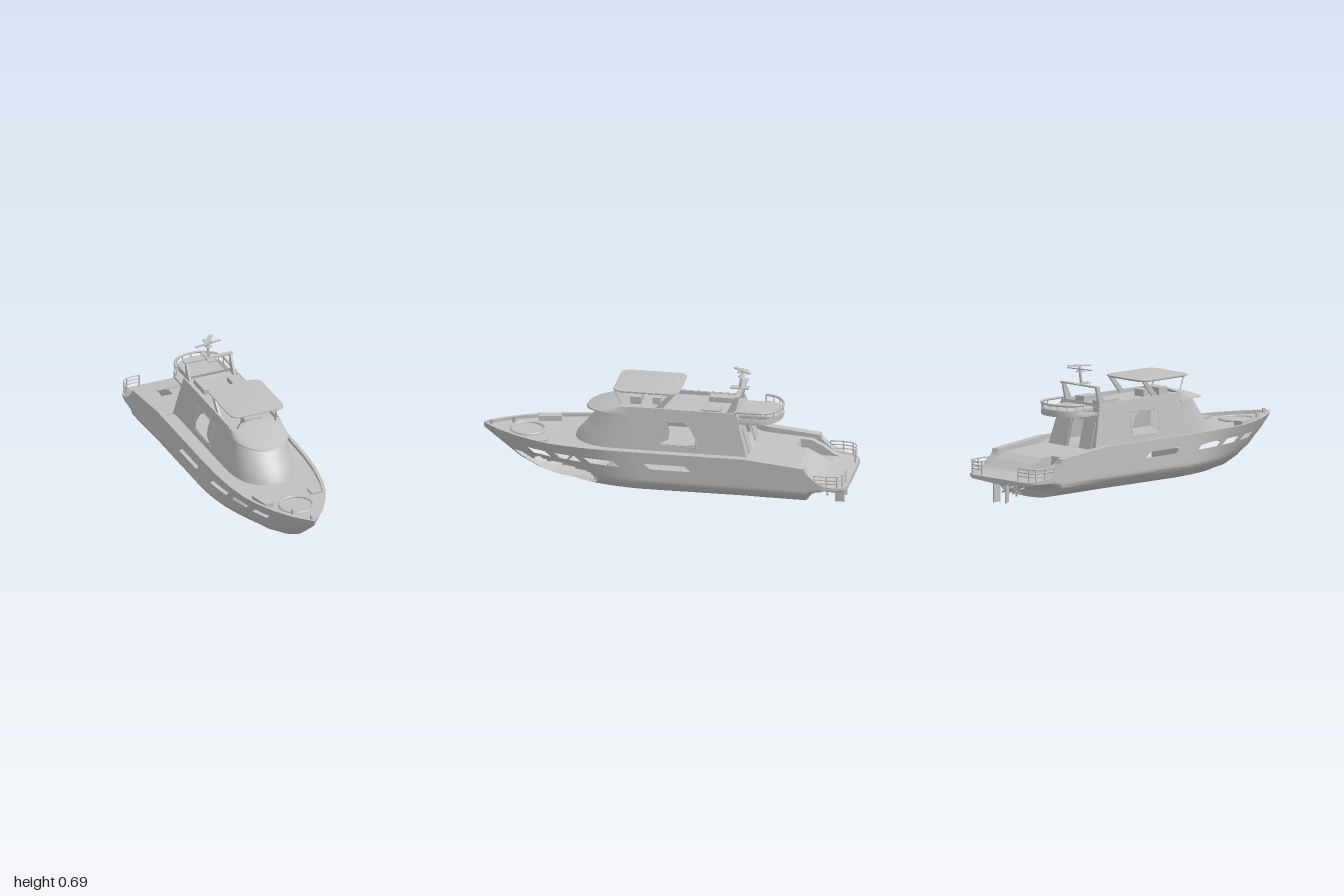
import * as THREE from 'three';
import { toCreasedNormals } from 'three/addons/utils/BufferGeometryUtils.js';

const grey = new THREE.MeshStandardMaterial({ color: 0xc0c0c0, side: THREE.DoubleSide });
grey.name = 'plain grey';

const V = (x, y, z) => new THREE.Vector3(x, y, z);

// piecewise linear lookup in a sorted table of [key, value]
function at(table, t) {
  if (t <= table[0][0]) return table[0][1];
  for (let i = 1; i < table.length; i++) {
    const [a, u] = table[i - 1], [b, v] = table[i];
    if (t <= b) return u + (v - u) * (t - a) / (b - a);
  }
  return table[table.length - 1][1];
}

// surface through rows of points; keep() can leave cells out
function surface(rows, keep = () => true, crease = 0.5) {
  const n = rows[0].length, pts = rows.flat(), index = [];
  const tri = (...t) => {
    const [a, b, c] = t.map(i => pts[i]);
    if (b.clone().sub(a).cross(c.clone().sub(a)).length() > 1e-8) index.push(...t);
  };
  for (let i = 0; i < rows.length - 1; i++) for (let j = 0; j < n - 1; j++) {
    const a = i * n + j, b = a + 1, c = a + n, d = c + 1;
    const mid = pts[a].clone().add(pts[b]).add(pts[c]).add(pts[d]).multiplyScalar(0.25);
    if (keep(mid)) { tri(a, c, b); tri(b, c, d); }
  }
  const g = new THREE.BufferGeometry().setFromPoints(pts);
  g.setIndex(index);
  return toCreasedNormals(g, crease);
}

// hull lines along z: half width, sheer, keel, deck height and bulwark thickness
const WIDTH = [[-1, .2], [-.98, .235], [-.94, .258], [-.88, .27], [.1, .27], [.3, .266], [.45, .254],
  [.6, .228], [.7, .197], [.8, .153], [.9, .094], [.96, .045], [1, .004]];
const SHEER = [[-1, .14], [-.92, .15], [-.86, .165], [-.79, .225], [-.78, .25], [-.45, .283], [.6, .28], [1, .29]];
const KEEL = [[-1, .11], [-.88, .108], [-.84, .09], [-.8, .06], [-.79, .035], [-.78, .02], [.4, .018], [.6, .032],
  [.7, .06], [.8, .11], [.9, .185], [.99, .255], [1, .265]];
const DECK = [[-1, .139], [-.9, .148], [-.86, .162], [-.8, .203], [-.74, .232], [-.46, .25], [-.42, .262],
  [.6, .262], [.94, .27], [1, .289]];
const BULWARK = [[-.95, .015], [-.85, .045], [-.5, .045], [-.35, .018]];
const SECTION = [[0, 0], [.015, .35], [.1, .72], [.2, .87], [.34, .99], [.4, 1], [1, 1]];
const WINDOWS = [[-.15, .07], [.24, .4], [.45, .57], [.62, .72]];
const BREACH = [[.83, .17], [.77, .165], [.72, .14], [.68, .17], [.62, .15], [.58, .165], [.5, .148], [.41, .14],
  [.34, .1], [.37, .05], [.5, .038], [.6, .045], [.68, .075], [.76, .115]];

function inside(poly, x, y) {
  let hit = false;
  poly.forEach(([ax, ay], i) => {
    const [bx, by] = poly[(i + 1) % poly.length];
    if ((ay > y) !== (by > y) && x < ax + (bx - ax) * (y - ay) / (by - ay)) hit = !hit;
  });
  return hit;
}

// point on the hull; the window band is slanted forward at the top
function hullPoint(station, level) {
  const slant = level === .22 ? .018 : level === .19 ? -.018 : 0;
  const z = station + slant * Math.min(1, (1 - Math.abs(station)) * 6);
  const k = at(KEEL, z), s = at(SHEER, z);
  const y = Math.min(Math.max(level, k), s);
  const f = (y - k) / Math.max(s - k, 1e-4);
  const bow = THREE.MathUtils.smoothstep(z, .1, .85);
  return V(at(WIDTH, z) * (at(SECTION, f) * (1 - bow) + Math.pow(f, .62) * bow), y, z);
}

const stations = Array.from({ length: 201 }, (_, i) => (i - 100) / 100);
const cabinX = y => .177 - (y - .28) * .145;
const shapeOf = pts => new THREE.Shape(pts.map(p => new THREE.Vector2(...p)));

export function createModel() {
  const model = new THREE.Group();
  const add = (name, geo) => {
    const m = new THREE.Mesh(geo, grey);
    m.name = name;
    model.add(m);
    return m;
  };
  const box = (name, w, h, d, x, y, z, ry = 0) => {
    const m = add(name, new THREE.BoxGeometry(w, h, d));
    m.position.set(x, y, z);
    m.rotation.y = ry;
    return m;
  };
  const tube = (name, pts, r, n = 24) =>
    add(name, new THREE.TubeGeometry(new THREE.CatmullRomCurve3(pts), n, r, 6));
  const rod = (name, a, b, r) => add(name, new THREE.TubeGeometry(new THREE.LineCurve3(a, b), 1, r, 8));
  const slab = (name, shape, h, y, bevel = 0) => {
    const g = new THREE.ExtrudeGeometry(shape, { depth: h, curveSegments: 16, bevelEnabled: bevel > 0,
      bevelSize: bevel, bevelThickness: bevel, bevelSegments: 2 });
    add(name, g.rotateX(Math.PI / 2).translate(0, y + h, 0));
  };

  // hollow hull sides with window openings and a breach in the left bow
  const levels = [0, .022, .03, .037, .045, .052, .06, .07, .08, .09, .1, .11, .12, .13, .14, .15, .16, .17, .19, .22, .25, 1];
  for (const side of [1, -1]) {
    const rows = stations.map(z => levels.map(l => hullPoint(z, l)));
    rows.unshift(rows[0].map(p => V(0, p.y, p.z)));
    rows.forEach(r => r.forEach(p => { p.x *= side; }));
    add(side > 0 ? 'leftHull' : 'rightHull', surface(rows, c =>
      !(c.y > .195 && c.y < .215 && WINDOWS.some(([a, b]) => c.z > a && c.z < b)) &&
      !(side > 0 && inside(BREACH, c.z, c.y)), .8));
  }

  // deck with bulwarks and a sunken aft well on the right
  add('deck', surface(stations.map(z => {
    const w = at(WIDTH, z), s = at(SHEER, z), d = Math.min(at(DECK, z), s);
    const wi = Math.max(0, w - at(BULWARK, z));
    const well = z > -.9 && z < -.68 ? Math.min(d, .15) : d;
    const a = Math.min(.19, wi), b = Math.min(.08, wi);
    return [V(-w, s, z), V(-wi, s, z), V(-wi, d, z), V(-a, d, z), V(-a, well, z), V(-b, well, z), V(-b, d, z),
      V(wi, d, z), V(wi, s, z), V(w, s, z)];
  })));

  // torn lip, bent plates and contents behind the breach
  box('innerBulkhead', .34, .11, .008, 0, .108, .3);
  box('innerLocker', .12, .04, .06, .08, .074, .35);
  const lip = BREACH.map(([z, y], i) => hullPoint(z, y).add(V(-.008 - .006 * (i % 2), 0, 0)));
  add('tornLip', surface([...lip, lip[0]].map((p, i) =>
    [p, V(Math.max(p.x - .018 - .012 * (i % 3), .004), p.y + .006 * (i % 2), p.z - .008)]), undefined, 0));
  rod('brokenBeam', V(.06, .1, .56), V(.11, .18, .5), .006);
  rod('brokenBeam', V(.05, .16, .62), V(.1, .135, .54), .006);

  // cabin side walls with broken windows
  for (const side of [1, -1]) {
    const wall = shapeOf([[.2, .25], [.2, .49], [-.39, .49], [-.468, .2], [-.4, .2], [-.4, .25]]);
    wall.holes.push(shapeOf([[.02, .3], [-.03, .33], [-.035, .37], [-.02, .42], [-.1, .425], [-.14, .4],
      [-.175, .34], [-.17, .305], [-.12, .3]]));
    const g = new THREE.ShapeGeometry(wall), p = g.attributes.position;
    for (let i = 0; i < p.count; i++) p.setXYZ(i, side * cabinX(p.getY(i)), p.getY(i), p.getX(i));
    g.computeVertexNormals();
    add('cabinSide', g);
    const frame = [[.03, .292], [.03, .428], [-.18, .428], [-.18, .292], [.03, .292]];
    frame.slice(1).forEach(([z, y], i) => rod('windowFrame',
      V(side * cabinX(frame[i][1]), frame[i][1], frame[i][0]), V(side * cabinX(y), y, z), .002));
    box('coaming', .01, .022, .58, side * .139, .479, -.1);
  }

  // curved cabin front and overhanging brow whose edge rises toward the sides
  const arc = ([y, a, front, lift = 0]) => Array.from({ length: 41 }, (_, i) => {
    const t = Math.PI * i / 40;
    return V(a * Math.cos(t), y + lift * Math.cos(t) ** 2, .2 + (front - .2) * Math.pow(Math.sin(t), .68));
  });
  add('cabinFront', surface([[.25, .181, .505], [.285, .176, .49], [.33, .17, .45], [.38, .1625, .41],
    [.44, .154, .36, .01]].map(arc)));
  add('brow', surface([[.44, .152, .35, .01], [.433, .156, .44, .015], [.442, .155, .435, .012], [.465, .151, .37],
    [.488, .148, .27], [.505, 0, .21]].map(arc)));

  // cabin back wall with doorway
  const back = shapeOf([[-.188, .2], [.188, .2], [.147, .49], [-.147, .49]]);
  back.holes.push(shapeOf([[-.05, .21], [.03, .21], [.03, .4], [-.05, .4]]));
  const bg = new THREE.ShapeGeometry(back), bp = bg.attributes.position;
  for (let i = 0; i < bp.count; i++) bp.setZ(i, -.39 - (.49 - bp.getY(i)) * .268);
  bg.computeVertexNormals();
  add('cabinBack', bg);
  for (const x of [-.11, .075]) box('backPanel', .07, .15, .006, x, .325, -.436).rotation.x = .26;

  // flybridge floor and furniture
  box('flybridgeFloor', .296, .01, .64, 0, .465, -.08);
  box('console', .1, .045, .06, 0, .488, .17);
  box('seat', .055, .03, .14, -.078, .483, -.28);
  box('seat', .065, .03, .1, .1, .483, -.25);
  box('helmSeat', .07, .04, .04, 0, .487, .06);

  // rounded aft balcony with low wall, cushion and rail
  const balcony = r => {
    const s = new THREE.Shape().moveTo(-r, .38).lineTo(-r, .62 - r * .85);
    s.absellipse(0, .62 - r * .85, r, r * .85, Math.PI, 0, true);
    return s.lineTo(r, .38);
  };
  const flip = s => shapeOf(s.getPoints(20).map(p => [p.x, -p.y]));
  slab('balcony', flip(balcony(.15)), .012, .434);
  slab('balconyCushion', flip(balcony(.1)), .016, .452, .006);
  const railPts = (r, y) => balcony(r).getPoints(12).slice(1).map(p => V(p.x, y, -p.y));
  add('balconyWall', surface([railPts(.15, .44), railPts(.145, .462), railPts(.135, .462), railPts(.12, .446)]));
  tube('balconyRail', railPts(.138, .497), .007, 40);
  railPts(.138, .497).filter((_, i) => i % 3 === 0).forEach(p => rod('balconyPost', p, V(p.x, .45, p.z), .003));

  // hardtop with low peak
  const roofOutline = (hx, hz, r) => {
    const s = new THREE.Shape().moveTo(-hx + r, -hz).lineTo(hx - r, -hz);
    s.absarc(hx - r, -hz + r, r, -Math.PI / 2, 0).absarc(hx - r, hz - r, r, 0, Math.PI / 2);
    return s.absarc(-hx + r, hz - r, r, Math.PI / 2, Math.PI).absarc(-hx + r, -hz + r, r, Math.PI, Math.PI * 1.5);
  };
  const rim = roofOutline(.155, .178, .05).getPoints(8);
  const ring = (k, y) => rim.map(p => V(p.x * k, y, p.y * k + .1));
  add('hardtop', surface([ring(0, .571), ring(.95, .571), ring(1, .576), ring(1, .582), ring(.8, .584), ring(0, .592)]));

  // hardtop supports and mast arch
  for (const s of [1, -1]) {
    rod('hardtopPost', V(s * .115, .465, .22), V(s * .095, .573, .28), .004);
    const fin = new THREE.ExtrudeGeometry(shapeOf([[.02, .475], [.06, .475], [-.03, .573], [-.06, .573]]),
      { depth: .01, bevelEnabled: false });
    add('hardtopFin', fin.rotateY(-Math.PI / 2).translate(s * .13 + .005, 0, 0));
    const leg = new THREE.ExtrudeGeometry(shapeOf([[-.33, .475], [-.38, .475], [-.405, .582], [-.385, .582]]),
      { depth: .012, bevelEnabled: false });
    add('archLeg', leg.rotateY(-Math.PI / 2).translate(s * .128 + .006, 0, 0));
  }
  box('archBar', .28, .008, .025, 0, .58, -.395);
  box('archTray', .04, .006, .1, 0, .586, -.385);
  rod('mast', V(0, .58, -.385), V(0, .682, -.4), .007);
  box('mastCollar', .034, .004, .034, 0, .652, -.395);
  box('radarBar', .157, .005, .014, 0, .665, -.398, .15);
  box('radarBlade', .022, .005, .125, 0, .684, -.4, -.7);
  box('radarBlade', .02, .004, .06, 0, .68, -.4, .8);

  // foredeck fittings
  const hatch = add('roundHatch', new THREE.TorusGeometry(.09, .009, 8, 40));
  hatch.rotation.x = Math.PI / 2;
  hatch.position.set(0, .267, .76);
  const lid = add('roundHatchLid', new THREE.CylinderGeometry(.078, .078, .008, 40));
  lid.position.set(0, .262, .76);
  box('deckHatch', .05, .03, .125, -.155, .277, .67, .22);
  box('deckHatch', .055, .016, .06, .148, .268, .66);
  box('cleat', .005, .03, .02, -.065, .285, .85);
  box('bowPost', .007, .025, .02, 0, .29, .96);

  // stern corner rails
  for (const s of [1, -1]) {
    const path = [[.255, -.83], [.257, -.9], [.245, -.955], [.215, -.978], [.14, -.985]];
    [.21, .19, .17].forEach(y => tube('sternRail', path.map(([x, z]) => V(s * x, y, z)), .0035));
    path.forEach(([x, z]) => rod('sternPost', V(s * x, .14, z), V(s * x, .21, z), .0035));
  }

  // rudders and propellers
  box('rudder', .008, .1, .05, -.007, .055, -.94, .5);
  box('rudder', .006, .11, .05, .072, .055, -.94);
  for (const x of [-.007, .072]) {
    rod('propellerShaft', V(x, .075, -.79), V(x, .058, -.875), .004);
    for (let i = 0; i < 3; i++) {
      const blade = box('propellerBlade', .012, .056, .004, x, .058, -.87, .4);
      blade.rotation.z = i * Math.PI / 3;
    }
  }
  return model;
}
